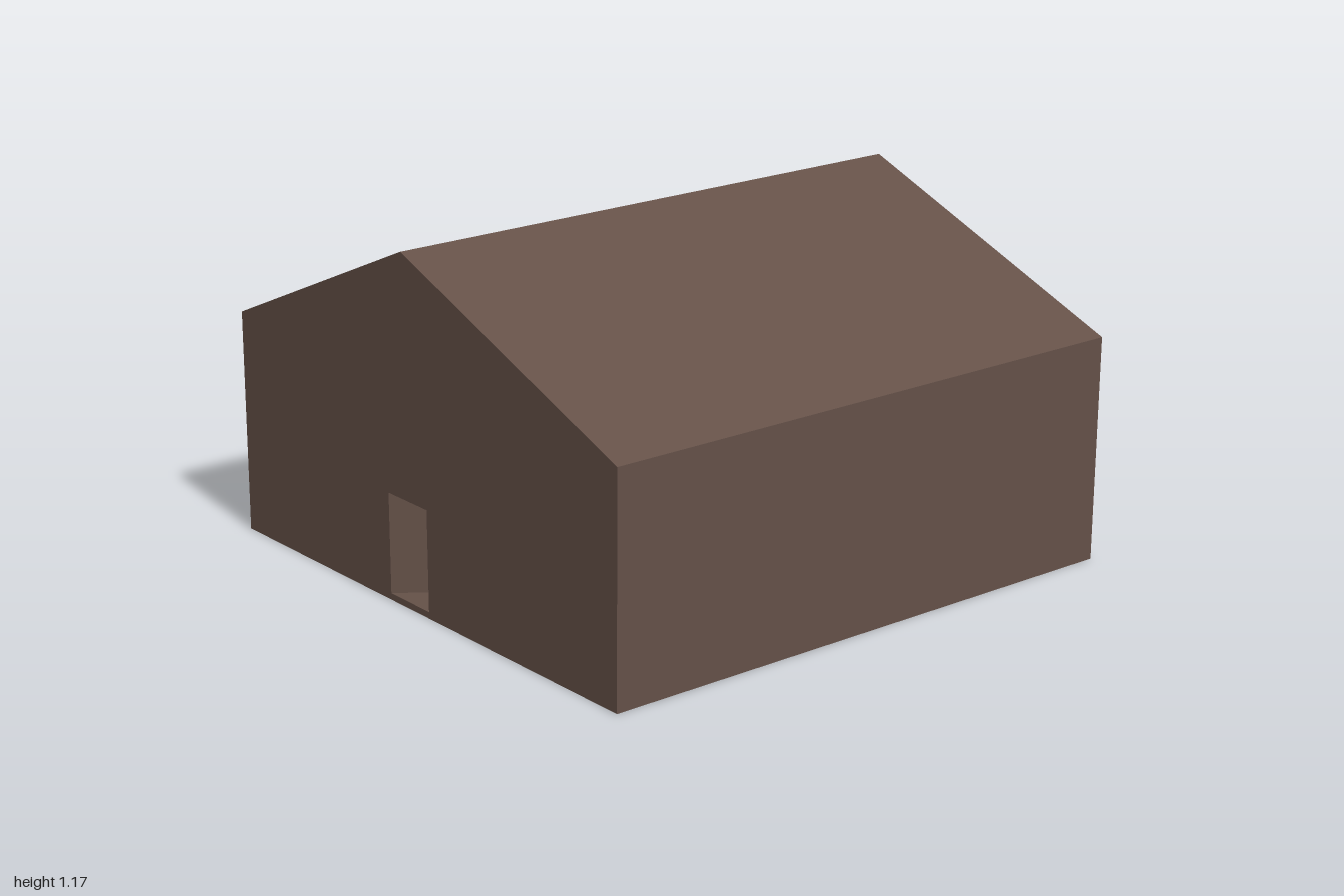
import * as THREE from 'three';

export function createModel() {
  const group = new THREE.Group();
  const brown = new THREE.MeshStandardMaterial({ color: 0x655148, side: THREE.DoubleSide });
  const halfDepth = 0.995;

  // Gable outline, counter-clockwise; the ridge sits slightly off centre
  const outline = [[-1, 0], [0.992, 0], [1, 0.765], [-0.065, 1.17], [-1, 0.765]]
    .map(([x, y]) => new THREE.Vector2(x, y));
  const names = ['floor', 'leftWall', 'leftRoof', 'rightRoof', 'rightWall'];

  const add = (name, geometry) => {
    const mesh = new THREE.Mesh(geometry, brown);
    mesh.name = name;
    group.add(mesh);
    return mesh;
  };

  // Floor, side walls and roof slopes: one flat panel per outline edge
  outline.forEach((a, i) => {
    const b = outline[(i + 1) % outline.length];
    const corners = [[a, 1], [a, -1], [b, -1], [b, 1]];
    const geometry = new THREE.BufferGeometry();
    geometry.setAttribute('position', new THREE.Float32BufferAttribute(
      corners.flatMap(([p, s]) => [p.x, p.y, s * halfDepth]), 3));
    geometry.setIndex([0, 1, 2, 0, 2, 3]);
    geometry.computeVertexNormals();
    add(names[i], geometry);
  });

  // Front gable with the doorway cut out
  const x0 = -0.165, x1 = 0.042, y0 = 0.022, y1 = 0.362;
  const front = new THREE.Shape(outline);
  front.holes.push(new THREE.Path([[x0, y0], [x0, y1], [x1, y1], [x1, y0]]
    .map(([x, y]) => new THREE.Vector2(x, y))));
  add('frontWall', new THREE.ShapeGeometry(front)).position.z = halfDepth;

  // Plain rear gable, mirrored so that it faces backwards
  const back = new THREE.Shape(outline.map((p) => new THREE.Vector2(-p.x, p.y)));
  const backWall = add('backWall', new THREE.ShapeGeometry(back));
  backWall.rotation.y = Math.PI;
  backWall.position.z = -halfDepth;

  // Door leaf hinged on one jamb and swung inwards
  const width = x1 - x0;
  const leaf = new THREE.PlaneGeometry(width, y1 - y0).translate(width / 2, (y1 - y0) / 2, 0);
  const door = add('door', leaf);
  door.position.set(x0, y0, halfDepth);
  door.rotation.y = 0.95;

  return group;
}
